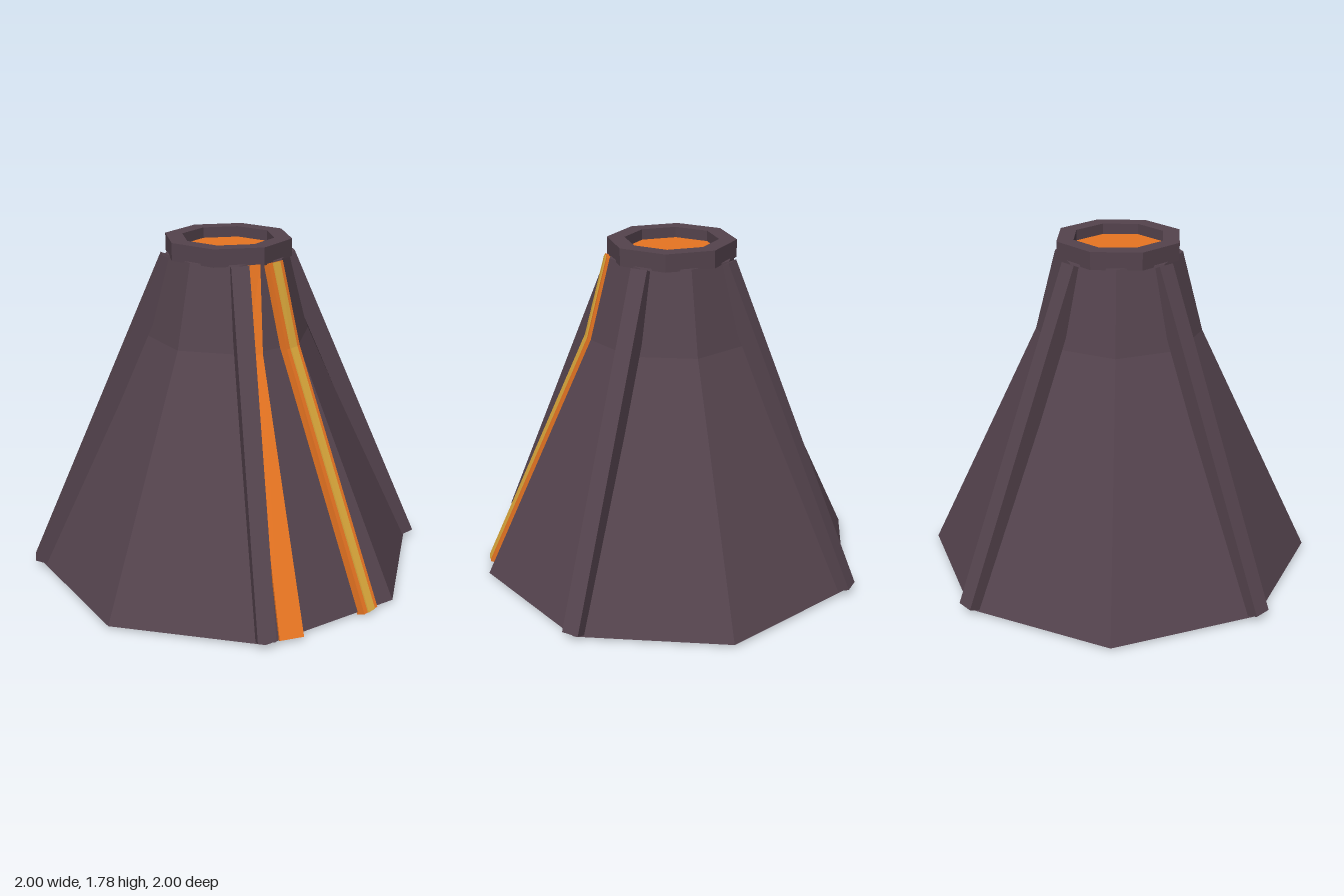
import * as THREE from 'three';

const mat = (name, color) => {
  const m = new THREE.MeshStandardMaterial({ color });
  m.name = name;
  m.flatShading = true;
  return m;
};

// Octagonal lathe with flat-sided faces; phase turns its corners
function octagon(profile, phase) {
  return new THREE.LatheGeometry(profile.map(([r, y]) => new THREE.Vector2(r, y)), 8, phase).toNonIndexed();
}

// Bar running down the slope; stations are [x, y, z, width], given bottom to top along the outer face
function bar(stations, depth) {
  const rings = stations.map(([x, y, z, w]) => {
    const r = Math.hypot(x, z);
    const tangent = new THREE.Vector3(z / r, 0, -x / r).multiplyScalar(w / 2);
    const inward = new THREE.Vector3(-0.92 * x / r, -0.39, -0.92 * z / r).multiplyScalar(depth);
    const c = new THREE.Vector3(x, y, z);
    const left = c.clone().sub(tangent), right = c.clone().add(tangent);
    return [left, right, right.clone().add(inward), left.clone().add(inward)];
  });
  const pos = [];
  const quad = (a, b, c, d) => [a, b, c, a, c, d].forEach(v => pos.push(v.x, v.y, v.z));
  for (let i = 0; i + 1 < rings.length; i++) {
    const p = rings[i], q = rings[i + 1];
    for (let k = 0; k < 4; k++) {
      const n = (k + 1) % 4;
      quad(p[k], p[n], q[n], q[k]);
    }
  }
  const p = rings[0], q = rings[rings.length - 1];
  quad(p[3], p[2], p[1], p[0]);
  quad(q[0], q[1], q[2], q[3]);
  const g = new THREE.BufferGeometry();
  g.setAttribute('position', new THREE.Float32BufferAttribute(pos, 3));
  g.computeVertexNormals();
  return g;
}

export function createModel() {
  const group = new THREE.Group();
  const rock = mat('rock', 0x54434d);
  const lava = mat('lava', 0xe87522);
  const hotLava = mat('hotLava', 0xdeaa3c);
  const add = (name, geometry, material) => {
    const mesh = new THREE.Mesh(geometry, material);
    mesh.name = name;
    group.add(mesh);
    return mesh;
  };

  // Mountain: two slopes, steeper near the top
  const k = 1 / Math.cos(Math.PI / 8);
  add('mountain', octagon([[0, 0.015], [0.95 * k, 0.015], [0.4 * k, 1.28], [0.3 * k, 1.7], [0, 1.7]], Math.PI / 8), rock);

  // Crater rim and the lava pool inside it
  add('craterRim', octagon([[0.24, 1.69], [0.33, 1.69], [0.33, 1.78], [0.24, 1.78], [0.24, 1.69]], 0), rock);
  add('lavaPool', octagon([[0.24, 1.7], [0.24, 1.725], [0, 1.725]], 0), lava);

  // Rock ridges on every other corner
  for (let i = 0; i < 4; i++) {
    const a = -Math.PI / 8 + i * Math.PI / 2;
    const s = Math.sin(a), c = Math.cos(a);
    add('rockRidge', bar([[1.063 * s, 0.048, 1.063 * c, 0.09], [0.34 * s, 1.7, 0.34 * c, 0.09]], 0.09), rock);
  }

  // Lava streams following the slope
  add('wideStream', bar([[-0.26, 0.02, 0.98, 0.125], [-0.117, 1.28, 0.43, 0.08], [-0.057, 1.7, 0.325, 0.066]], 0.05), lava);
  add('narrowStream', bar([[0.228, 0.02, 0.98, 0.105], [0.112, 1.28, 0.43, 0.1], [0.072, 1.7, 0.325, 0.1]], 0.05), lava);
  // Bright core on the narrow stream
  add('streamCore', bar([[0.229, 0.023, 0.987, 0.05], [0.113, 1.283, 0.437, 0.048], [0.073, 1.7, 0.333, 0.048]], 0.009), hotLava);
  return group;
}
